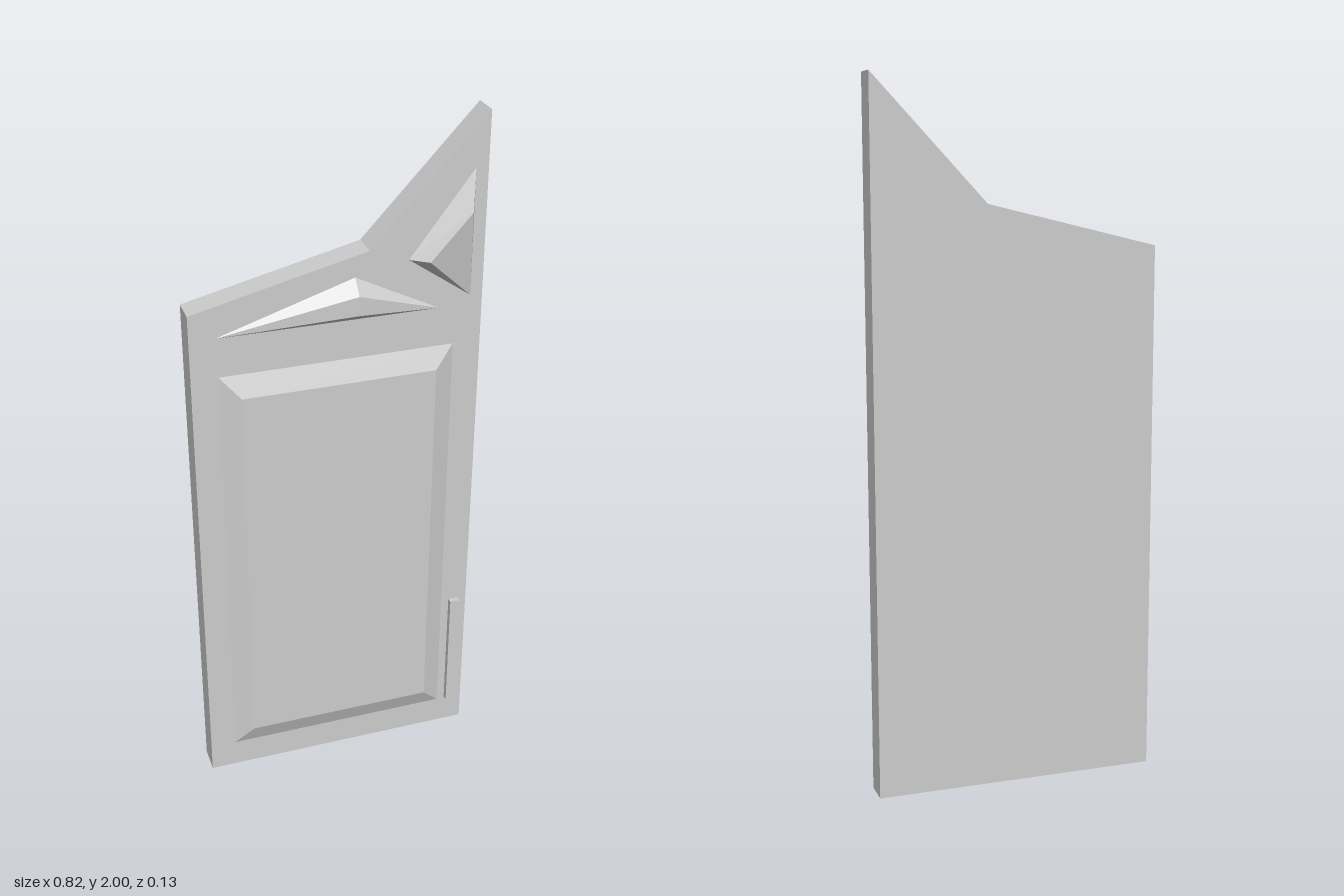
import * as THREE from 'three';

const BACK = -0.065, FACE = 0.015; // rear and front planes of the slab
const material = new THREE.MeshStandardMaterial({ color: 0xcccccc, flatShading: true });

function addPart(group, name, geometry) {
  const mesh = new THREE.Mesh(geometry, material);
  mesh.name = name;
  group.add(mesh);
  return mesh;
}

// Raised facet: triangle a, b, c on the slab face, rising to the ridge p-q at height z
function facetGeometry(a, b, c, p, q, z) {
  const [A, B, C] = [a, b, c].map(([x, y]) => [x, y, FACE]);
  const [P, Q] = [p, q].map(([x, y]) => [x, y, z]);
  const faces = [[A, B, P], [P, B, Q], [B, C, Q], [C, A, Q], [A, P, Q], [A, C, B]];
  const geometry = new THREE.BufferGeometry();
  geometry.setAttribute('position', new THREE.Float32BufferAttribute(faces.flat(2), 3));
  geometry.computeVertexNormals();
  return geometry;
}

// Box whose front face is inset to give bevelled sides
function bevelledPanel(x0, x1, y0, y1, z0, z1, inset) {
  const geometry = new THREE.BoxGeometry(x1 - x0, y1 - y0, z1 - z0);
  geometry.translate((x0 + x1) / 2, (y0 + y1) / 2, (z0 + z1) / 2);
  const pos = geometry.attributes.position;
  const cx = (x0 + x1) / 2, cy = (y0 + y1) / 2, cz = (z0 + z1) / 2;
  for (let i = 0; i < pos.count; i++) {
    if (pos.getZ(i) < cz) continue;
    pos.setX(i, pos.getX(i) - Math.sign(pos.getX(i) - cx) * inset);
    pos.setY(i, pos.getY(i) - Math.sign(pos.getY(i) - cy) * inset * 1.1);
  }
  geometry.computeVertexNormals();
  return geometry;
}

export function createModel() {
  const group = new THREE.Group();
  group.name = 'door';

  // Slab with its stepped, slanting top edge
  const outline = [[-0.41, 0], [0.41, 0], [0.41, 2], [0.085, 1.655], [-0.41, 1.537]];
  const shape = new THREE.Shape(outline.map(([x, y]) => new THREE.Vector2(x, y)));
  const slab = new THREE.ExtrudeGeometry(shape, { depth: FACE - BACK, bevelEnabled: false });
  slab.translate(0, 0, BACK);
  addPart(group, 'doorSlab', slab);

  // Raised centre panel
  addPart(group, 'raisedPanel', bevelledPanel(-0.335, 0.33, 0.085, 1.35, FACE, 0.041, 0.056));

  // Faceted ornaments below the top edge
  addPart(group, 'wideFacet', facetGeometry(
    [-0.34, 1.464], [0.285, 1.464], [0.045, 1.585], [0.045, 1.49], [0.045, 1.545], 0.052));
  addPart(group, 'tallFacet', facetGeometry(
    [0.195, 1.615], [0.375, 1.49], [0.375, 1.85], [0.238, 1.62], [0.353, 1.745], 0.062));

  // Pull handle at the lower left of the door
  const handle = new THREE.BoxGeometry(0.032, 0.385, 0.017);
  handle.translate(0.37, 0.282, FACE + 0.0085);
  addPart(group, 'handle', handle);

  return group;
}
